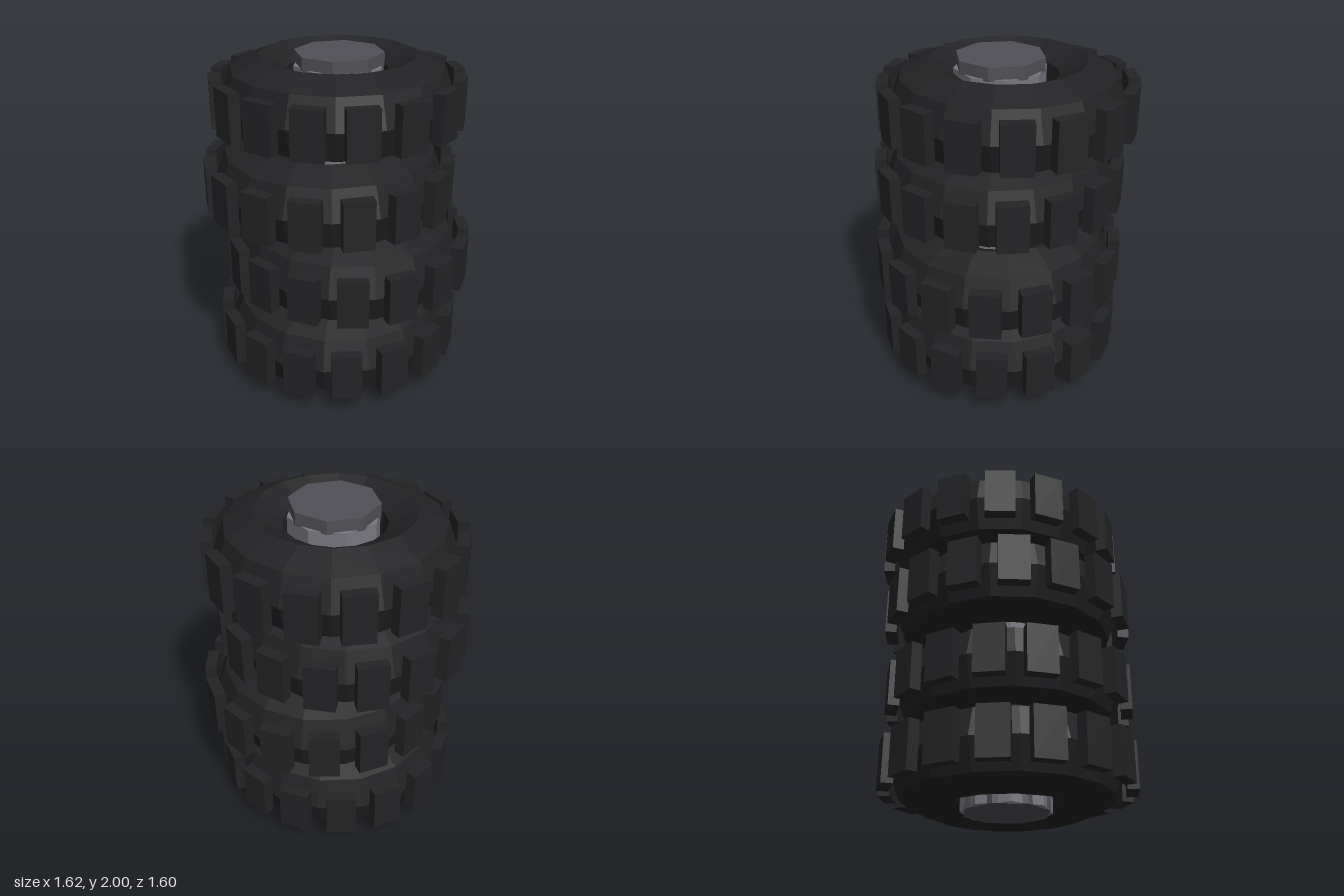
import * as THREE from 'three';

const SIDES = 16;
const STEP = (Math.PI * 2) / SIDES;

function paint(color) {
  return new THREE.MeshStandardMaterial({ color, flatShading: true });
}

function addMesh(parent, name, geometry, material) {
  const mesh = new THREE.Mesh(geometry, material);
  mesh.name = name;
  parent.add(mesh);
  return mesh;
}

// Closed, faceted tyre cross-section, listed upwards on the outside
const section = [
  [0.285, 0], [0.30, -0.165], [0.465, -0.25], [0.635, -0.177], [0.70, 0],
  [0.635, 0.177], [0.465, 0.25], [0.30, 0.165], [0.285, 0],
].map(([r, y]) => new THREE.Vector2(r, y));

export function createModel() {
  const group = new THREE.Group();
  group.name = 'tyreStack';
  const rubber = paint(0x222224);
  const tread = paint(0x242426);
  const block = new THREE.BoxGeometry(0.18, 0.29, 0.07);

  // Four loosely stacked tyres: x, y, z, turn in degrees
  const tyres = [
    [-0.01, 0.25, 0.005, 11.5],
    [0.045, 0.745, 0.04, 9],
    [-0.055, 1.235, -0.025, -2],
    [0.02, 1.726, -0.04, -4.5],
  ];
  for (const [x, y, z, turn] of tyres) {
    const tyre = new THREE.Group();
    tyre.name = 'tyre';
    tyre.position.set(x, y, z);
    tyre.rotation.y = THREE.MathUtils.degToRad(turn);
    group.add(tyre);
    // Body corners fall between the tread blocks
    addMesh(tyre, 'tyreBody', new THREE.LatheGeometry(section, SIDES, STEP / 2), rubber);
    for (let i = 0; i < SIDES; i++) {
      const a = i * STEP;
      const lug = addMesh(tyre, 'treadBlock', block, tread);
      lug.position.set(Math.sin(a) * 0.722, 0, Math.cos(a) * 0.722);
      lug.rotation.y = a;
    }
  }

  // Centre post with an octagonal cap
  const core = addMesh(group, 'postCore', new THREE.CylinderGeometry(0.272, 0.272, 1.92, 8), paint(0x77777f));
  core.position.y = 0.97;
  core.rotation.y = Math.PI / 8;
  for (const [name, y] of [['postCap', 1.96], ['postFoot', 0.045]]) {
    addMesh(group, name, new THREE.CylinderGeometry(0.265, 0.265, 0.08, 8), paint(0x505056)).position.y = y;
  }
  return group;
}
